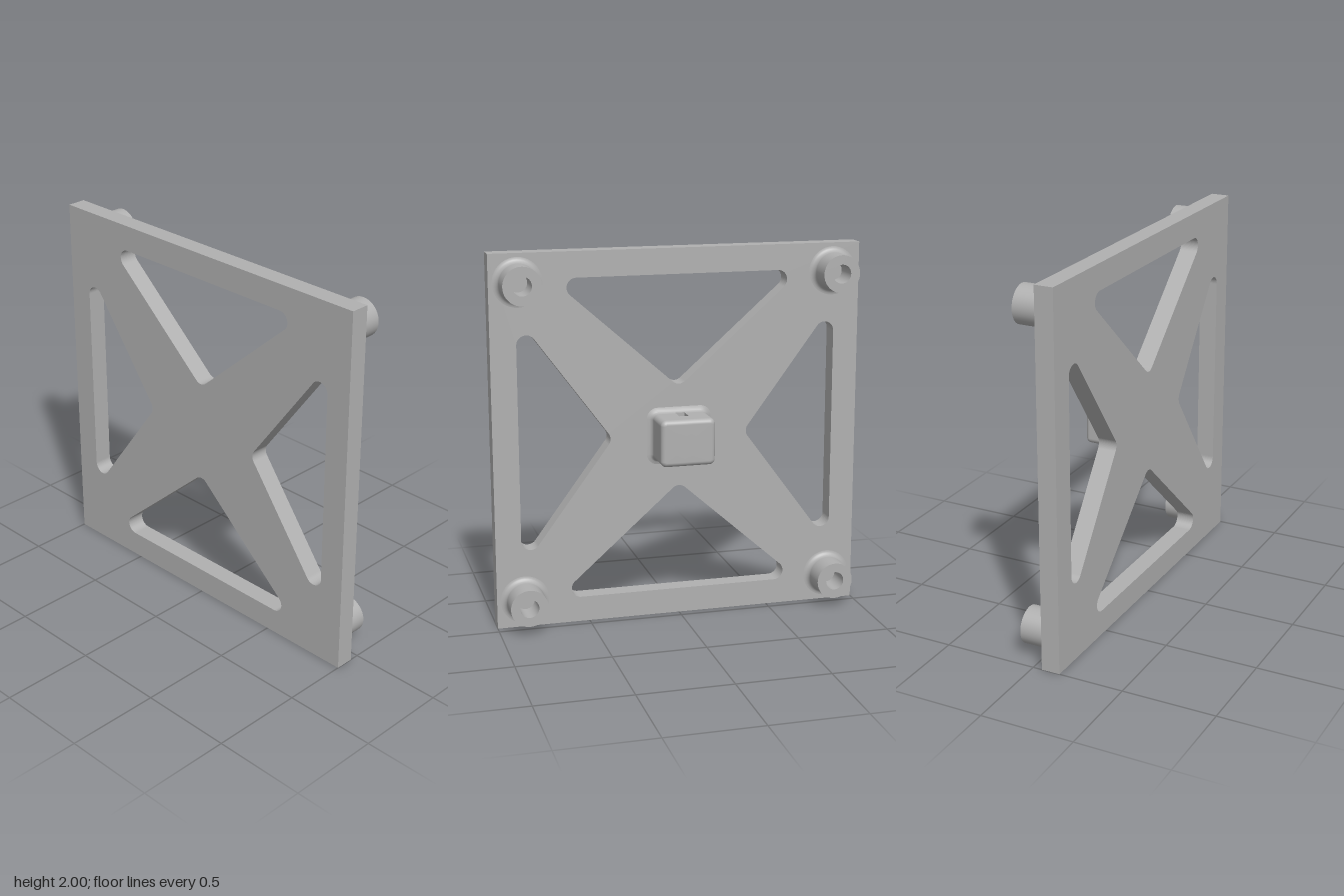
import * as THREE from 'three';

const PLATE_BACK = 0.05, PLATE_FRONT = 0.15;

// Opening outlined around equal circles, centres listed counter-clockwise
function roundedOpening(centres, r) {
  const path = new THREE.Path();
  const n = centres.length;
  const normalAngle = (a, b) => Math.atan2(b[1] - a[1], b[0] - a[0]) - Math.PI / 2;
  centres.forEach((c, i) => {
    const start = normalAngle(centres[(i + n - 1) % n], c);
    const end = normalAngle(c, centres[(i + 1) % n]);
    path.absarc(c[0], c[1], r, start, end, false);
  });
  path.closePath();
  return path;
}

function plateGeometry() {
  const shape = new THREE.Shape();
  shape.moveTo(-1, -1).lineTo(1, -1).lineTo(1, 1).lineTo(-1, 1).closePath();
  const top = [[0, 0.33], [0.545, 0.812], [-0.545, 0.812]];
  const right = [[0.425, 0], [0.812, -0.525], [0.812, 0.525]];
  const turn = (pts) => pts.map(([x, y]) => [-x, -y]);
  for (const pts of [top, turn(top), right, turn(right)]) shape.holes.push(roundedOpening(pts, 0.051));
  return new THREE.ExtrudeGeometry(shape, {
    depth: PLATE_FRONT - PLATE_BACK, bevelEnabled: false, curveSegments: 10,
  }).translate(0, 0, PLATE_BACK);
}

// Hollow post with a filleted foot; each sharp-edged run is its own lathe
function makeStandoff(material) {
  const group = new THREE.Group();
  const R = 0.1, bore = 0.05, height = 0.15, fillet = 0.03;
  const outside = [];
  for (let i = 0; i <= 6; i++) {
    const a = (i / 6) * Math.PI / 2;
    outside.push([R + fillet * (1 - Math.sin(a)), fillet * (1 - Math.cos(a))]);
  }
  outside.push([R, height]);
  const runs = {
    standoffWall: outside,
    standoffRim: [[R, height], [bore, height]],
    standoffBore: [[bore, height], [bore, 0.01]],
    standoffFloor: [[bore, 0.01], [0, 0.01]],
  };
  for (const [name, pts] of Object.entries(runs)) {
    const geo = new THREE.LatheGeometry(pts.map((p) => new THREE.Vector2(...p)), 40);
    const mesh = new THREE.Mesh(geo.rotateX(-Math.PI / 2), material);
    mesh.name = name;
    group.add(mesh);
  }
  return group;
}

const SLOT = 0.025, HALF_W = 0.147, HALF_H = 0.125, SLOT_BACK = -0.05, SLOT_FRONT = 0.03;

// Rounded rectangle section, with points at the slot edges on top and bottom
function section(offset) {
  const w = HALF_W + offset, h = HALF_H + offset, r = 0.03 + offset;
  const pts = [];
  const corner = (sx, sy, start) => {
    for (let i = 0; i <= 6; i++) {
      const a = start + (i / 6) * Math.PI / 2;
      pts.push([sx * (w - r) + r * Math.cos(a), sy * (h - r) + r * Math.sin(a)]);
    }
  };
  corner(1, 1, 0);
  pts.push([SLOT, h], [-SLOT, h]);
  corner(-1, 1, Math.PI / 2);
  corner(-1, -1, Math.PI);
  pts.push([-SLOT, -h], [SLOT, -h]);
  corner(1, -1, Math.PI * 1.5);
  return pts;
}

// Block lofted backwards from its foot fillet to its rounded end
function blockGeometry() {
  const fillet = 0.03, round = 0.025, back = -0.15;
  const levels = [];
  for (const dz of [0, 0.004, 0.009, 0.014, 0.02, 0.025, 0.03]) {
    const d = fillet - dz;
    levels.push([PLATE_BACK - dz, fillet - Math.sqrt(fillet * fillet - d * d)]);
  }
  levels.push([SLOT_BACK, 0]);
  for (let i = 0; i <= 6; i++) {
    const a = (i / 6) * Math.PI / 2;
    levels.push([back + round * (1 - Math.sin(a)), -round * (1 - Math.cos(a))]);
  }
  const pos = [], index = [];
  for (const [z, o] of levels) for (const [x, y] of section(o)) pos.push(x, y, z);
  const n = section(0).length;
  for (let i = 0; i < levels.length - 1; i++) {
    const inSlot = levels[i][0] <= SLOT_FRONT + 1e-4 && levels[i + 1][0] >= SLOT_BACK - 1e-4;
    for (let j = 0; j < n; j++) {
      if (inSlot && (j === 7 || j === 23)) continue; // slot mouths
      const k = (j + 1) % n;
      const a = i * n + j, b = i * n + k, c = a + n, d = b + n;
      index.push(a, c, d, a, d, b);
    }
  }
  const last = (levels.length - 1) * n;
  pos.push(0, 0, back);
  for (let j = 0; j < n; j++) index.push(levels.length * n, last + (j + 1) % n, last + j);
  const geo = new THREE.BufferGeometry();
  geo.setAttribute('position', new THREE.Float32BufferAttribute(pos, 3));
  geo.setIndex(index);
  geo.computeVertexNormals();
  return geo;
}

// Walls of the curved passage running from the top mouth to the bottom one
function channelGeometry() {
  const pos = [], steps = 14, s = SLOT, f = SLOT_FRONT;
  const quad = (a, b, c, d) => pos.push(...a, ...b, ...c, ...a, ...c, ...d);
  const curve = (y) => 0.02 + (SLOT_BACK - 0.02) * (y / HALF_H) ** 2;
  for (let i = 0; i < steps; i++) {
    const y0 = HALF_H * (2 * i / steps - 1), y1 = HALF_H * (2 * (i + 1) / steps - 1);
    const z0 = curve(y0), z1 = curve(y1);
    quad([-s, y0, z0], [s, y0, z0], [s, y1, z1], [-s, y1, z1]);
    quad([-s, y0, f], [-s, y1, f], [s, y1, f], [s, y0, f]);
    quad([s, y0, z0], [s, y0, f], [s, y1, f], [s, y1, z1]);
    quad([-s, y0, z0], [-s, y1, z1], [-s, y1, f], [-s, y0, f]);
  }
  const geo = new THREE.BufferGeometry();
  geo.setAttribute('position', new THREE.Float32BufferAttribute(pos, 3));
  geo.computeVertexNormals();
  return geo;
}

export function createModel() {
  const model = new THREE.Group();
  model.name = 'mountingPlate';
  const grey = new THREE.MeshStandardMaterial({ color: 0xb0b0b0 });
  grey.name = 'grey';

  const add = (name, geometry) => {
    const mesh = new THREE.Mesh(geometry, grey);
    mesh.name = name;
    mesh.position.y = 1;
    model.add(mesh);
  };
  add('plate', plateGeometry());
  add('centreBlock', blockGeometry());
  add('tieChannel', channelGeometry());

  // Standoffs at the four corners of the back
  for (const sx of [-1, 1]) for (const sy of [-1, 1]) {
    const standoff = makeStandoff(grey);
    standoff.name = (sy > 0 ? 'upper' : 'lower') + (sx > 0 ? 'Left' : 'Right') + 'Standoff';
    standoff.position.set(0.85 * sx, 1 + 0.85 * sy, PLATE_BACK);
    model.add(standoff);
  }
  return model;
}
